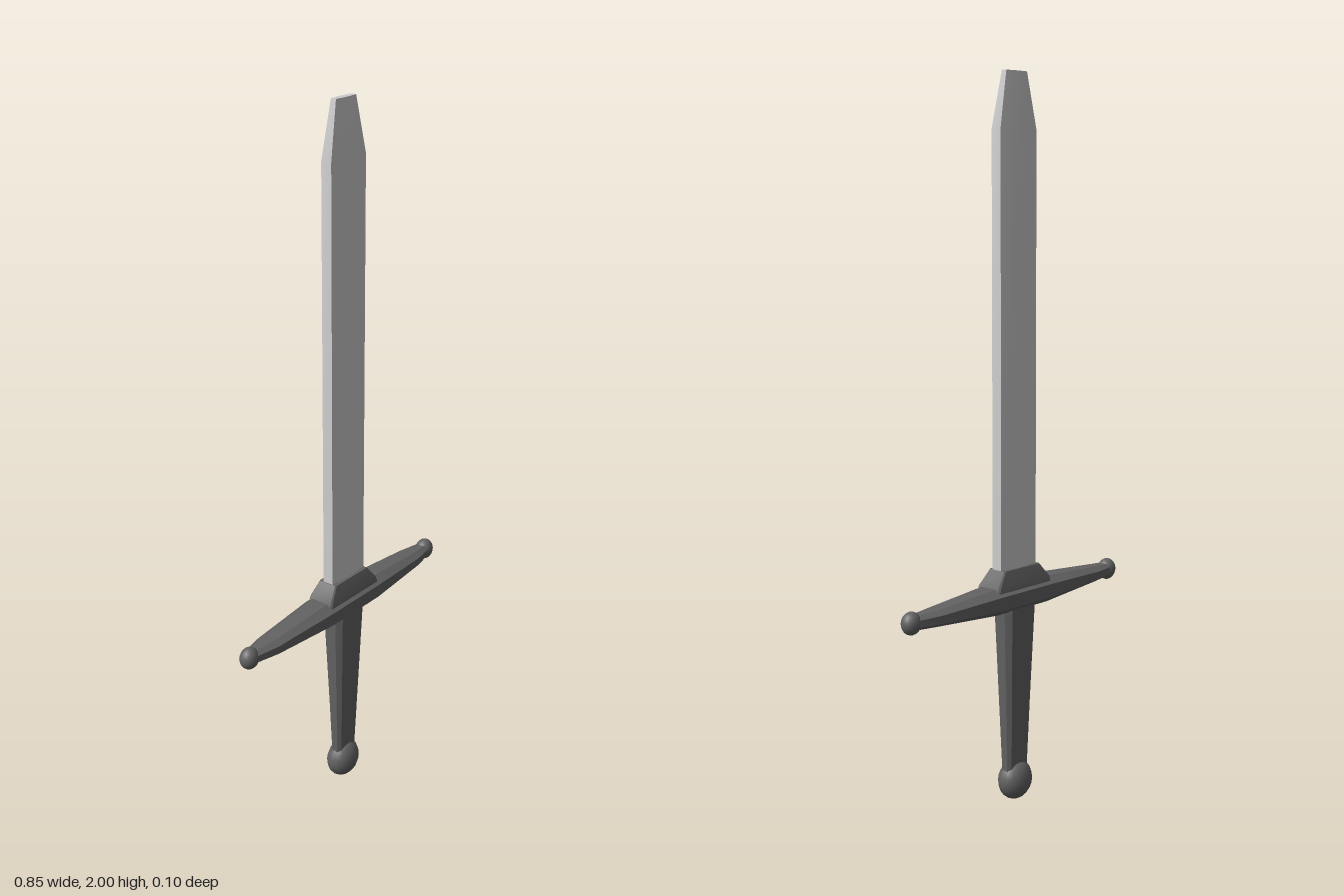
import * as THREE from 'three';
import { toCreasedNormals } from 'three/addons/utils/BufferGeometryUtils.js';

const steel = new THREE.MeshStandardMaterial({ color: 0xcccccc });
const dark = new THREE.MeshStandardMaterial({ color: 0x626262 });

// Unit outlines (x, z), turning from +x towards +z
const octagon = (kx, kz) => [
  [1, -kz], [1, kz], [kx, 1], [-kx, 1], [-1, kz], [-1, -kz], [-kx, -1], [kx, -1],
];
const ridged = [[1, -0.72], [1, 0.72], [0, 1], [-1, 0.72], [-1, -0.72], [0, -1]];

// Joins scaled copies of an outline along y; each section is [y, centreX, halfWidth, halfDepth]
function loft(outline, sections, crease = 0.5) {
  const n = outline.length;
  const pos = [];
  const rings = sections.map(([y, cx, w, d]) => outline.map(([x, z]) => [cx + x * w, y, z * d]));
  const tri = (a, b, c) => pos.push(...a, ...b, ...c);
  for (let i = 0; i < rings.length - 1; i++) {
    for (let j = 0; j < n; j++) {
      const k = (j + 1) % n;
      const lo = rings[i], hi = rings[i + 1];
      tri(lo[j], hi[j], lo[k]);
      tri(lo[k], hi[j], hi[k]);
    }
  }
  const first = rings[0], last = rings[rings.length - 1];
  for (let j = 1; j < n - 1; j++) {
    tri(first[0], first[j], first[j + 1]);
    tri(last[0], last[j + 1], last[j]);
  }
  const geo = new THREE.BufferGeometry();
  geo.setAttribute('position', new THREE.Float32BufferAttribute(pos, 3));
  return toCreasedNormals(geo, crease);
}

export function createModel() {
  const sword = new THREE.Group();
  sword.name = 'sword';
  const add = (name, geo, mat) => {
    const mesh = new THREE.Mesh(geo, mat);
    mesh.name = name;
    sword.add(mesh);
    return mesh;
  };
  const ball = (name, x, y, rx, ry, rz) => {
    const mesh = add(name, new THREE.SphereGeometry(1, 16, 12), dark);
    mesh.position.set(x, y, 0);
    mesh.scale.set(rx, ry, rz);
  };

  // Blade with a shallow central ridge and a blunt, narrowed tip
  add('blade', loft(ridged, [
    [0.64, 0.005, 0.07, 0.022],
    [1.85, 0.005, 0.07, 0.022],
    [2.0, 0.004, 0.04, 0.011],
  ]), steel);

  // Sloped collar holding the blade
  add('collar', loft(octagon(0.94, 0.9), [
    [0.615, 0.004, 0.109, 0.042],
    [0.632, 0.004, 0.104, 0.04],
    [0.673, 0.004, 0.071, 0.029],
  ]), dark);

  // Crossguard, lofted upright and then laid along x
  const guard = loft(octagon(0.5, 0.5), [
    [-0.4, -0.592, 0.018, 0.02],
    [-0.32, -0.592, 0.022, 0.036],
    [-0.1, -0.593, 0.037, 0.051],
    [0.1, -0.593, 0.037, 0.051],
    [0.32, -0.592, 0.022, 0.036],
    [0.4, -0.592, 0.018, 0.02],
  ]);
  guard.rotateZ(-Math.PI / 2);
  add('crossguard', guard, dark);
  for (const side of [-1, 1]) {
    ball(side > 0 ? 'leftGuardKnob' : 'rightGuardKnob', side * 0.398, 0.592, 0.029, 0.031, 0.025);
  }

  // Tapered grip with chamfered corners
  add('grip', loft(octagon(0.75, 0.55), [
    [0.07, 0.004, 0.04, 0.016],
    [0.54, 0.004, 0.06, 0.033],
    [0.57, 0.004, 0.061, 0.034],
  ]), dark);

  // Flattened round pommel
  ball('pommel', 0.002, 0.057, 0.056, 0.057, 0.041);

  return sword;
}
